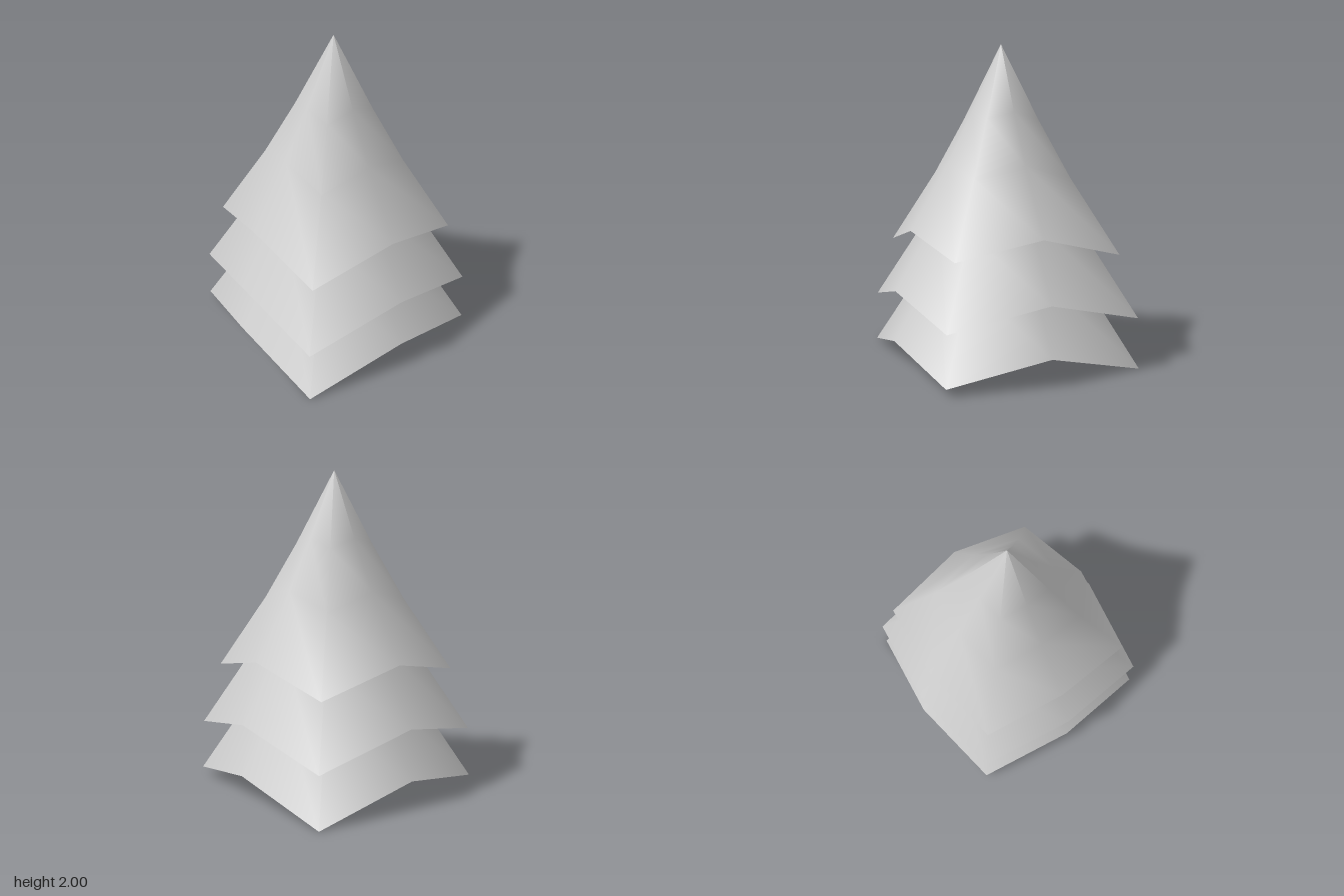
import * as THREE from 'three';

// Bough profile from tip to hem: [fraction of radius, fraction of drop]
const PROFILE = [[0, 0], [0.32, 0.363], [0.59, 0.64], [1, 1]];
const SIDES = 8;

// Open eight-sided skirt whose hem hangs low on the axes and rises on the diagonals
function skirt(name, apexY, sideHem, frontHem, diagonalHem) {
  const positions = [];
  const index = [];
  for (const [r, drop] of PROFILE) {
    for (let i = 0; i < SIDES; i++) {
      const hem = i % 2 ? diagonalHem : i % 4 ? frontHem : sideHem;
      const a = (i / SIDES) * Math.PI * 2;
      const radius = hem.radius * r;
      positions.push(Math.cos(a) * radius, apexY + (hem.y - apexY) * drop, Math.sin(a) * radius);
    }
  }
  for (let row = 0; row < PROFILE.length - 1; row++) {
    for (let i = 0; i < SIDES; i++) {
      const j = (i + 1) % SIDES;
      const a = row * SIDES + i, b = row * SIDES + j;
      const c = a + SIDES, d = b + SIDES;
      if (row > 0) index.push(a, b, c);
      index.push(b, d, c);
    }
  }
  const geometry = new THREE.BufferGeometry();
  geometry.setAttribute('position', new THREE.Float32BufferAttribute(positions, 3));
  geometry.setIndex(index);
  geometry.computeVertexNormals();

  // Carry the side normals up to the tip so it stays a smooth cone
  const normal = geometry.attributes.normal;
  for (let i = 0; i < SIDES; i++) {
    const k = i + SIDES;
    normal.setXYZ(i, normal.getX(k), normal.getY(k), normal.getZ(k));
  }

  const material = new THREE.MeshStandardMaterial({ color: 0xcccccc, side: THREE.DoubleSide });
  const mesh = new THREE.Mesh(geometry, material);
  mesh.name = name;
  return mesh;
}

export function createModel() {
  const tree = new THREE.Group();
  tree.name = 'coniferFoliage';
  const hem = (radius, y) => ({ radius, y });

  // Three nested tiers of boughs
  tree.add(
    skirt('topTier', 2, hem(0.745, 0.755), hem(0.78, 0.715), hem(0.61, 0.86)),
    skirt('middleTier', 1.81, hem(0.865, 0.365), hem(0.905, 0.325), hem(0.715, 0.49)),
    skirt('bottomTier', 1.52, hem(0.88, 0.05), hem(0.917, 0.003), hem(0.728, 0.173)),
  );
  return tree;
}
